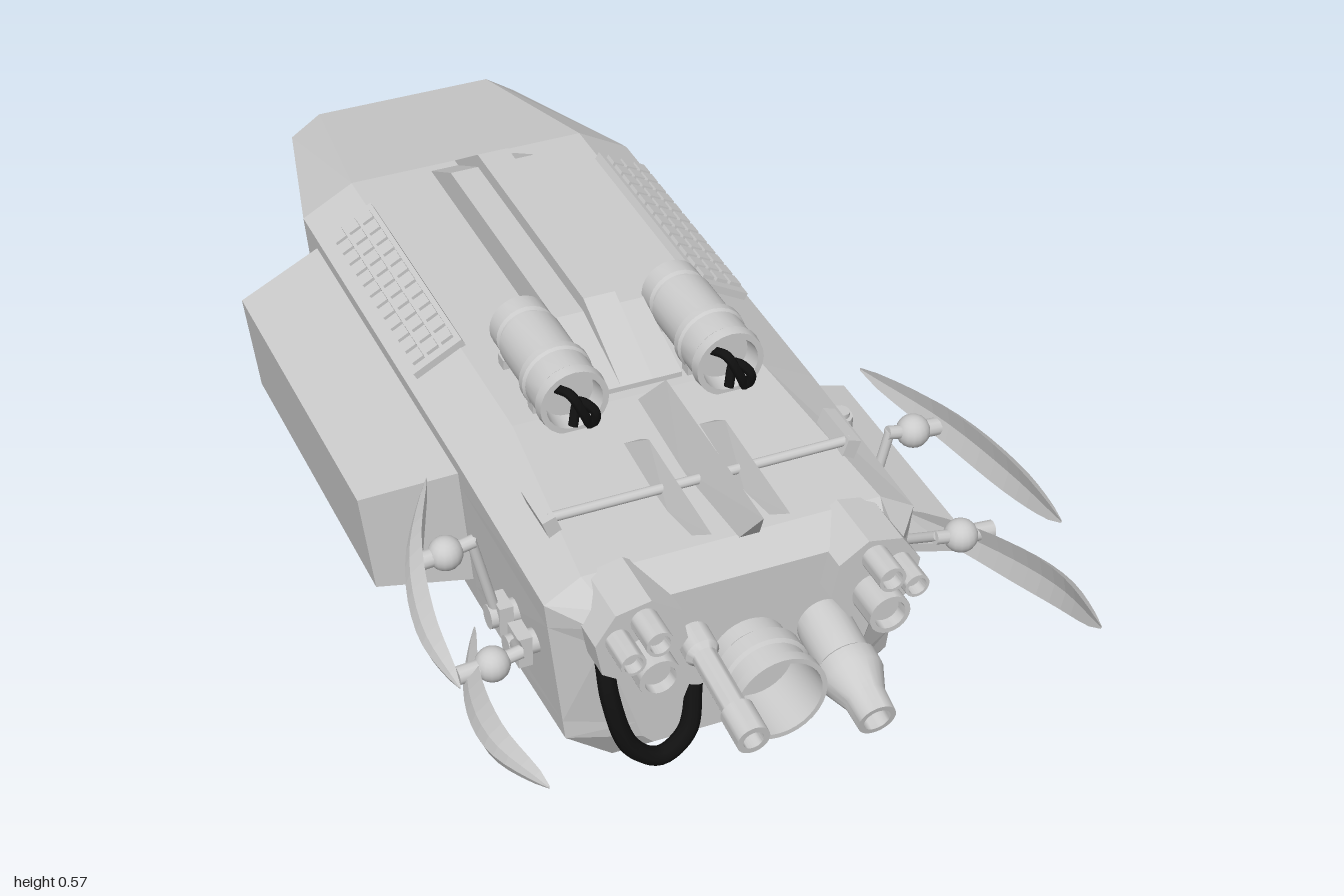
import * as THREE from 'three';
import { toCreasedNormals } from 'three/addons/utils/BufferGeometryUtils.js';
import { ConvexGeometry } from 'three/addons/geometries/ConvexGeometry.js';

const CX = -0.035; // hull centre line
const grey = new THREE.MeshStandardMaterial({ color: 0xcccccc, flatShading: true, side: THREE.DoubleSide });
const smooth = new THREE.MeshStandardMaterial({ color: 0xcccccc, side: THREE.DoubleSide });
const black = new THREE.MeshStandardMaterial({ color: 0x111111 });
const V = (x, y, z) => new THREE.Vector3(x, y, z);

function add(parent, name, geo, pos = [0, 0, 0], rot = [0, 0, 0], mat = grey) {
  const m = new THREE.Mesh(geo, mat);
  m.name = name;
  m.position.set(...pos);
  m.rotation.set(...rot);
  parent.add(m);
  return m;
}
const box = (w, h, d) => new THREE.BoxGeometry(w, h, d);

// Skin through rings of points (anticlockwise from the front), ordered front to back
function loft(rings, skip = () => false) {
  const p = [];
  const tri = (...v) => v.forEach((q) => p.push(q.x, q.y, q.z));
  const n = rings[0].length, last = rings[rings.length - 1];
  for (let i = 0; i < rings.length - 1; i++) for (let j = 0; j < n; j++) {
    if (skip(i, j)) continue;
    const k = (j + 1) % n, [a, b, c, d] = [rings[i][j], rings[i][k], rings[i + 1][k], rings[i + 1][j]];
    tri(a, d, c);
    tri(a, c, b);
  }
  for (let j = 1; j < n - 1; j++) {
    tri(rings[0][0], rings[0][j], rings[0][j + 1]);
    tri(last[0], last[j + 1], last[j]);
  }
  const g = new THREE.BufferGeometry();
  g.setAttribute('position', new THREE.Float32BufferAttribute(p, 3));
  g.computeVertexNormals();
  return g;
}

// Round part along z from [radius, z] pairs
function turned(profile, sides = 24) {
  const g = new THREE.LatheGeometry(profile.map(([r, z]) => new THREE.Vector2(r, z)), sides);
  return toCreasedNormals(g.rotateX(Math.PI / 2), 0.6);
}

function rod(parent, name, a, b, r, mat = smooth) {
  const m = add(parent, name, new THREE.CylinderGeometry(r, r, a.distanceTo(b), 12), a.clone().lerp(b, 0.5).toArray(), [0, 0, 0], mat);
  m.quaternion.setFromUnitVectors(V(0, 1, 0), b.clone().sub(a).normalize());
}

// One hull cross-section: bottom, chamfer, door sill, door head, shoulder, roof edge
function hullRing(z, hb, yb, hc, yc, hs, ys, ht, yt) {
  const at = (t) => [hc + (hs - hc) * t, yc + (ys - yc) * t];
  const half = [[hb, yb], [hc, yc], at(0.13), at(0.84), [hs, ys], [ht, yt]];
  return [...half.map(([x, y]) => V(CX + x, y, z)), ...half.reverse().map(([x, y]) => V(CX - x, y, z))];
}

function buildHull(g) {
  const mid = [0.215, 0.02, 0.305, 0.075, 0.335, 0.395, 0.235, 0.45];
  const rings = [
    hullRing(0.67, 0.17, 0.09, 0.19, 0.11, 0.275, 0.37, 0.25, 0.4),
    hullRing(0.6, 0.215, 0.02, 0.3, 0.085, 0.335, 0.385, 0.27, 0.425),
    ...[0.21, -0.2, -0.63].map((z) => hullRing(z, ...mid)),
    hullRing(-1, 0.17, 0.085, 0.21, 0.125, 0.24, 0.345, 0.18, 0.385),
  ];
  const inset = (s, z) => rings[5].map((v) => V(CX + (v.x - CX) * s, 0.237 + (v.y - 0.237) * s, z));
  rings.push(inset(0.88, -1), inset(0.82, -0.97), inset(0.72, -0.97), inset(0.7, -0.985));
  add(g, 'hull', loft(rings, (i, j) => i === 2 && j === 2));

  // Door recess, lined on five sides
  const [a, b, c, d] = [rings[2][2], rings[2][3], rings[3][3], rings[3][2]];
  const [e, f, h, k] = [V(0.08, 0.13, 0.15), V(0.08, 0.31, 0.15), V(0.08, 0.31, -0.2), V(0.08, 0.13, -0.2)];
  const pts = [[a, b, f, e], [b, c, h, f], [c, d, k, h], [d, a, e, k], [e, f, h, k]]
    .flatMap(([p, q, r, s]) => [p, r, q, p, s, r]);
  const recess = new THREE.BufferGeometry().setFromPoints(pts);
  recess.computeVertexNormals();
  add(g, 'doorRecess', recess);
  // Lowered ramp and the door post
  add(g, 'ramp', box(0.32, 0.018, 0.535), [0.43, 0.055, 0.067], [0, 0, -0.29]);
  rod(g, 'doorPost', V(0.285, 0.11, 0.31), V(0.308, 0.385, 0.31), 0.016);
  for (const [x, y] of [[0.287, 0.13], [0.305, 0.36]]) rod(g, 'postCollar', V(x, y - 0.015, 0.31), V(x, y + 0.015, 0.31), 0.024);

  // Storage box on the opposite side
  add(g, 'sideBox', new ConvexGeometry([
    [-0.33, 0.125, 0.2], [-0.33, 0.125, -0.56], [-0.365, 0.37, 0.2], [-0.365, 0.37, -0.56],
    [-0.51, 0.125, 0.15], [-0.51, 0.125, -0.51], [-0.535, 0.325, 0.15], [-0.535, 0.325, -0.51],
  ].map((p) => V(...p))));

  // Frame bars round the rear hatch
  const rim = inset(0.86, -0.985);
  const corners = [0, 1, 4, 5, 6, 7, 10, 11];
  corners.forEach((n, i) => {
    const p = rim[n], q = rim[corners[(i + 1) % 8]];
    rod(g, 'hatchFrame', p.clone().lerp(q, 0.12), p.clone().lerp(q, 0.88), 0.009, grey);
  });

  // Rifle clipped to the side behind the door
  const rifle = new THREE.Group();
  rifle.name = 'sideRifle';
  rifle.position.set(0.295, 0.14, -0.36);
  for (const [y, z, h, d] of [[0.005, 0.02, 0.045, 0.14], [-0.015, -0.1, 0.05, 0.07], [-0.03, 0.07, 0.025, 0.1], [0.035, -0.02, 0.015, 0.09]])
    add(rifle, 'rifleBody', box(0.03, h, d), [0, y, z], [0.1, 0, 0]);
  rod(rifle, 'rifleBarrel', V(0, 0, -0.14), V(0, 0.01, 0.13), 0.011);
  g.add(rifle);
}

function buildRoof(g) {
  // Stepped spine, extruded across x
  for (const [w, top, back] of [[0.17, 0.51, -0.63], [0.06, 0.537, -0.645]]) {
    const s = new THREE.Shape([[-back, 0.44], [0.5, top], [-0.02, top], [-0.19, 0.46], [-0.19, 0.44]].map((p) => new THREE.Vector2(...p)));
    const geo = new THREE.ExtrudeGeometry(s, { depth: w, bevelEnabled: false });
    add(g, 'roofSpine', geo.rotateY(Math.PI / 2).translate(-0.03 - w / 2, 0, 0));
  }
  // Grilles on the shoulders, rows of slats on a plate
  for (const s of [1, -1]) {
    const vent = new THREE.Group();
    vent.name = 'roofVent';
    vent.position.set(CX + s * 0.275, 0.435, -0.283);
    vent.rotation.z = -s * 0.5;
    add(vent, 'ventPlate', box(0.105, 0.016, 0.485));
    for (let i = 0; i < 3; i++) for (let j = 0; j < 12; j++)
      add(vent, 'ventCell', box(0.024, 0.008, 0.03), [(i - 1) * 0.031, 0.011, (j - 5.5) * 0.038]);
    g.add(vent);
  }
  // Canisters with saddles and black cords
  for (const x of [-0.175, 0.115]) {
    add(g, 'canister', turned([[0, -0.01], [0.045, -0.01], [0.055, 0], [0.055, 0.035], [0.05, 0.04], [0.05, 0.05], [0.058, 0.055],
      [0.058, 0.16], [0.065, 0.165], [0.065, 0.18], [0.061, 0.185], [0.061, 0.235], [0.065, 0.24], [0.063, 0.26], [0.052, 0.26], [0.048, 0.225], [0, 0.225]]),
      [x, 0.505, 0], [0, 0, 0], smooth);
    for (const z of [0.04, 0.18]) add(g, 'canisterSaddle', box(0.1, 0.035, 0.025), [x, 0.452, z]);
    const cord = [[-0.02, 0.52, 0.23], [-0.01, 0.528, 0.265], [0.01, 0.49, 0.275], [0.025, 0.46, 0.27], [0.03, 0.49, 0.28], [0.005, 0.51, 0.265], [-0.01, 0.47, 0.275]];
    add(g, 'canisterCord', new THREE.TubeGeometry(new THREE.CatmullRomCurve3(cord.map((p) => V(...p))), 30, 0.009, 6), [x, 0, 0], [0, 0, 0], black);
  }
  // Horn blades reaching over the nose
  for (const [x, w, z0, z1, top] of [[-0.02, 0.026, 0.21, 0.68, 0.53], [-0.095, 0.018, 0.31, 0.645, 0.495], [0.045, 0.018, 0.31, 0.645, 0.495]]) {
    const pts = [V(0, top, z0 + 0.08), V(0, top - 0.015, z1)];
    for (const s of [-w, w]) pts.push(V(s, 0.435, z0), V(s, 0.435, z0 + 0.2), V(s * 0.7, 0.445, z1 - 0.05));
    add(g, 'hornBlade', new ConvexGeometry(pts), [x, 0, 0]);
  }
  // Crossbar in front of the canisters
  rod(g, 'crossbar', V(-0.31, 0.452, 0.47), V(0.24, 0.452, 0.47), 0.009);
  for (const s of [1, -1]) add(g, 'crossbarClamp', box(0.025, 0.04, 0.1), [CX + s * 0.272, 0.44, 0.435], [0, 0, -s * 0.35]);
}

function buildNose(g) {
  // Lamp clusters: octagonal housing and three lamps
  for (const s of [1, -1]) {
    const lamp = new THREE.Group();
    lamp.name = 'lampCluster';
    lamp.position.set(CX + s * 0.21, 0.353, 0);
    add(lamp, 'lampHousing', new THREE.CylinderGeometry(0.083, 0.083, 0.12, 8).rotateX(Math.PI / 2), [0, 0, 0.65], [0, 0, 0.2 * s]);
    for (const [x, y, r] of [[-0.005, -0.028, 0.037], [-0.004, 0.045, 0.024], [0.042, 0.018, 0.022]])
      add(lamp, 'lamp', turned([[r, 0.69], [r, 0.775], [r * 0.75, 0.775], [r * 0.7, 0.755], [0, 0.755]]), [x * s, y, 0], [0, 0, 0], smooth);
    g.add(lamp);
  }
  // Central ring port
  add(g, 'centrePort', turned([[0.07, 0.64], [0.07, 0.7], [0.08, 0.71], [0.08, 0.74], [0.074, 0.745], [0.074, 0.775], [0.083, 0.78], [0.083, 0.8], [0.074, 0.8], [0.07, 0.7], [0, 0.7]], 32),
    [CX, 0.232, 0], [0, 0, 0], smooth);
  // Slim and stout barrels, dipping forward
  add(g, 'slimBarrel', turned([[0.03, -0.04], [0.03, 0.05], [0.022, 0.06], [0.022, 0.18], [0.029, 0.185], [0.029, 0.25], [0.018, 0.25], [0.018, 0.2], [0, 0.2]]),
    [-0.137, 0.3, 0.66], [0.12, 0, 0], smooth);
  add(g, 'stoutBarrel', turned([[0.04, -0.04], [0.048, 0.03], [0.048, 0.1], [0.054, 0.105], [0.054, 0.135], [0.036, 0.18], [0.034, 0.225], [0.024, 0.225], [0.024, 0.19], [0, 0.19]]),
    [0.1, 0.255, 0.66], [0.22, 0, 0], smooth);
  // Hanging black hose
  const hose = [[-0.29, 0.29, 0.66], [-0.287, 0.22, 0.68], [-0.255, 0.115, 0.69], [-0.2, 0.075, 0.69], [-0.15, 0.11, 0.685], [-0.13, 0.19, 0.66]];
  add(g, 'hose', new THREE.TubeGeometry(new THREE.CatmullRomCurve3(hose.map((p) => V(...p))), 40, 0.017, 8), [0, 0, 0], [0, 0, 0], black);
}

// Crescent claw: a flattened section swept from tip to heel
function claw(points, height, thick) {
  const curve = new THREE.CatmullRomCurve3(points.map((p) => V(...p)));
  const rings = [];
  for (let i = 0; i <= 14; i++) {
    const t = i / 14, c = curve.getPoint(t), k = 0.08 + 0.92 * Math.sin(Math.PI * t) ** 0.7;
    const sec = [[-0.5, -1], [0.6, -0.5], [1, 0], [0.6, 0.5], [-0.5, 1], [-0.1, 0]];
    rings.push(sec.map(([x, y]) => V(c.x + x * thick * k, c.y + y * height * k, c.z)));
  }
  return loft(rings);
}

function buildArms(g) {
  for (const s of [1, -1]) {
    const arm = new THREE.Group();
    arm.name = s > 0 ? 'leftArms' : 'rightArms';
    arm.position.x = -0.047;
    arm.scale.x = s;
    add(arm, 'upperClaw', claw([[0.53, 0.42, 0.77], [0.525, 0.41, 0.62], [0.485, 0.42, 0.45], [0.405, 0.44, 0.28]], 0.04, 0.022));
    add(arm, 'lowerClaw', claw([[0.475, 0.39, 1], [0.495, 0.345, 0.84], [0.47, 0.305, 0.67], [0.4, 0.27, 0.48]], 0.04, 0.022));
    for (const [x, y, z] of [[0.43, 0.405, 0.435], [0.425, 0.32, 0.63]]) {
      add(arm, 'ballJoint', new THREE.SphereGeometry(0.03, 16, 12), [x, y, z], [0, 0, 0], smooth);
      rod(arm, 'clawPin', V(x, y, z), V(x + 0.06, y - 0.005, z), 0.016);
      rod(arm, 'elbowPin', V(x - 0.05, y + 0.01, z), V(x, y, z), 0.012);
      rod(arm, 'linkRod', V(x - 0.045, y + 0.012, z), V(0.345, 0.25, z < 0.5 ? z : 0.52), 0.009);
    }
    for (const z of [0.435, 0.52]) {
      rod(arm, 'shoulderJoint', V(0.3, 0.245, z), V(0.36, 0.245, z), 0.022);
      add(arm, 'shoulderBlock', box(0.025, 0.06, 0.05), [0.335, 0.245, z]);
    }
    g.add(arm);
  }
}

export function createModel() {
  const g = new THREE.Group();
  g.name = 'dropCraft';
  buildHull(g);
  buildRoof(g);
  buildNose(g);
  buildArms(g);
  return g;
}
